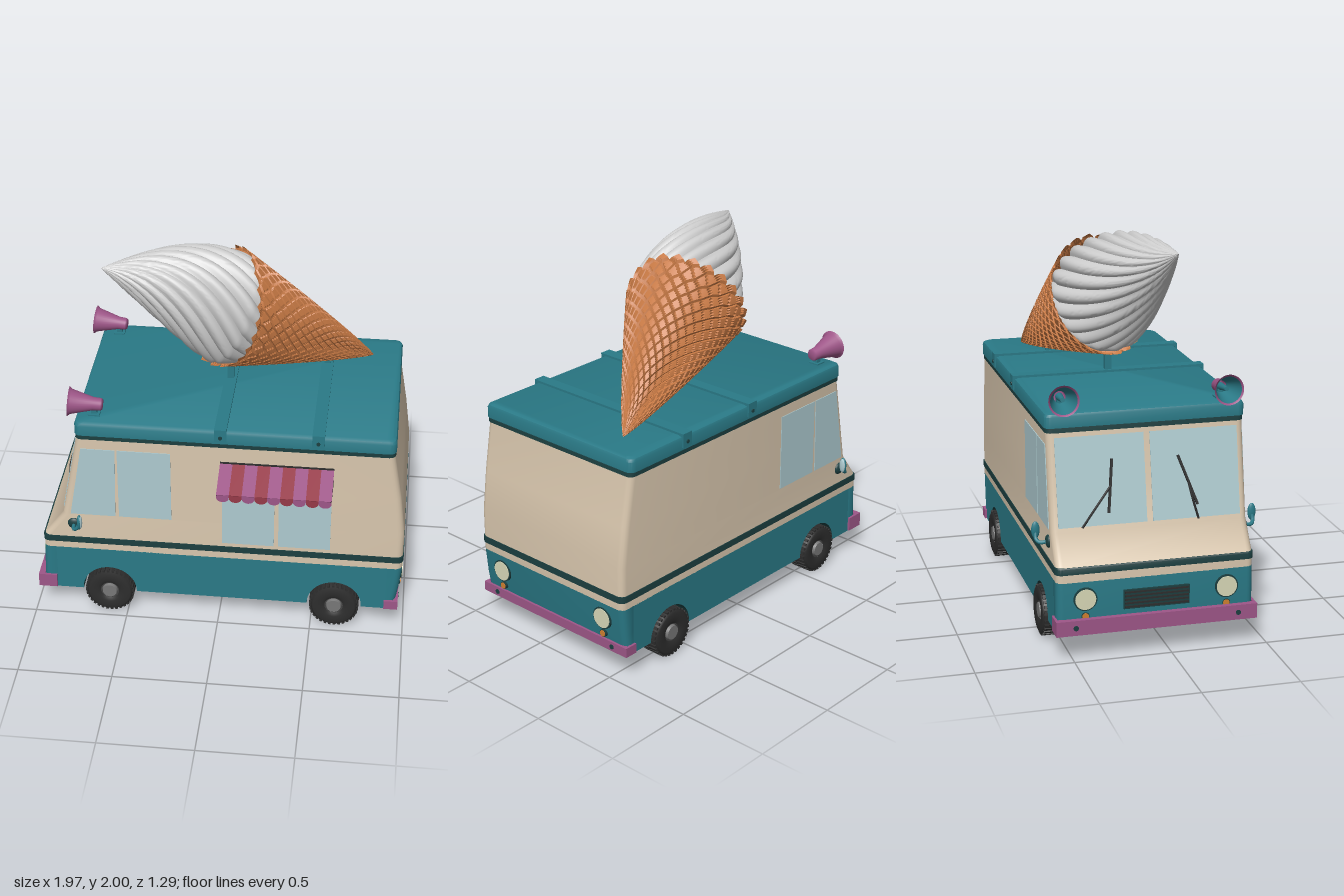
import * as THREE from 'three';
import { mergeGeometries, toCreasedNormals } from 'three/addons/utils/BufferGeometryUtils.js';

const paint = (color, side = THREE.FrontSide) => new THREE.MeshStandardMaterial({ color, side });
const ZC = -0.068, HALF = 0.508; // middle and half width of the body

export function createModel() {
  const model = new THREE.Group();
  const teal = paint(0x2a7a87), cream = paint(0xd9c7ae), dark = paint(0x1c3f40), pink = paint(0x9e5688);
  const black = paint(0x2d2d2d), steel = paint(0x777777), glass = paint(0xaecbd0), lampMat = paint(0xd9d9b8);
  const amber = paint(0xd08030), waffle = paint(0xc87a45, THREE.DoubleSide), grey = paint(0xcccccc);

  const add = (name, geo, mat, x = 0, y = 0, z = 0, parent = model) => {
    const m = new THREE.Mesh(geo, mat);
    m.name = name;
    m.position.set(x, y, z);
    parent.add(m);
    return m;
  };
  const box = (name, mat, w, h, d, x, y, z, parent) => add(name, new THREE.BoxGeometry(w, h, d), mat, x, y, z, parent);
  const rod = (name, mat, pts, r, parent) => add(name, new THREE.TubeGeometry(
    new THREE.CatmullRomCurve3(pts.map(p => new THREE.Vector3(...p))), 12, r, 8), mat, 0, 0, 0, parent);
  const group = (name, x = 0, y = 0, z = 0) => {
    const g = new THREE.Group();
    g.name = name;
    g.position.set(x, y, z);
    model.add(g);
    return g;
  };

  // Side outline of the body: x of the nose and of the tail at each height
  const nose = [[0.13, -0.95], [0.2, -0.955], [0.47, -0.945], [0.62, -0.835], [1.11, -0.745], [1.21, -0.735]];
  const tail = [[0.13, 0.945], [0.25, 0.965], [0.4, 0.98], [0.63, 0.98], [0.85, 0.952], [1.11, 0.908], [1.21, 0.9]];
  const at = (table, y) => {
    let i = 0;
    while (i < table.length - 2 && y > table[i + 1][0]) i++;
    const [a, b] = [table[i], table[i + 1]];
    return a[1] + (b[1] - a[1]) * (y - a[0]) / (b[0] - a[0]);
  };

  // Loft of rounded rectangles; row = [y, x0, x1, half width, nose radius, tail radius]
  const loft = rows => {
    const pos = [], idx = [], N = 20;
    rows.forEach(([y, x0, x1, h, rn, rt]) => {
      for (let c = 0; c < 4; c++) for (let k = 0; k < 5; k++) {
        const a = (c + k / 4) * Math.PI / 2, front = c === 1 || c === 2, r = front ? rn : rt;
        pos.push((front ? x0 + r : x1 - r) + r * Math.cos(a), y, ZC + (c < 2 ? -1 : 1) * (h - r) - r * Math.sin(a));
      }
    });
    for (let j = 0; j < rows.length - 1; j++) for (let i = 0; i < N; i++) {
      const a = j * N + i, b = j * N + (i + 1) % N;
      idx.push(a, b, b + N, a, b + N, a + N);
    }
    const top = (rows.length - 1) * N;
    for (let i = 1; i < N - 1; i++) idx.push(top, top + i, top + i + 1, 0, i + 1, i);
    const g = new THREE.BufferGeometry();
    g.setAttribute('position', new THREE.Float32BufferAttribute(pos, 3));
    g.setIndex(idx);
    return toCreasedNormals(g, 0.6);
  };
  const band = (name, y0, y1, mat, grow = 0) => {
    const ys = [y0, ...[...nose, ...tail].map(p => p[0]).filter(y => y > y0 && y < y1), y1];
    const rows = [...new Set(ys)].sort((a, b) => a - b)
      .map(y => [y, at(nose, y) - grow, at(tail, y) + grow, HALF + grow, 0.035, 0.035]);
    add(name, loft(rows), mat);
  };
  band('lowerTrim', 0.398, 0.442, cream);
  band('beltStripe', 0.44, 0.476, dark, 0.004);
  band('cabin', 0.475, 1.112, cream);
  band('roofStripe', 1.11, 1.136, dark, 0.004);
  add('roof', loft([[1.135, 0], [1.19, 0], [1.204, 0.006], [1.212, 0.02]].map(([y, s]) =>
    [y, at(nose, 1.135) - 0.008 + s, at(tail, 1.135) + 0.008 - s, HALF + 0.008 - s, 0.035, 0.035])), teal);

  // Lower body: arched middle with rounded ends
  const axles = [-0.595, 0.625];
  const sill = new THREE.Shape().moveTo(-0.88, 0.13);
  axles.forEach(x => sill.lineTo(x - 0.146, 0.13).absarc(x, 0.135, 0.146, Math.PI, 0, true).lineTo(x + 0.146, 0.13));
  sill.lineTo(0.9, 0.13).lineTo(0.9, 0.4).lineTo(-0.88, 0.4);
  add('lowerBody', new THREE.ExtrudeGeometry(sill, { depth: 2 * HALF, bevelEnabled: false, curveSegments: 28 }),
    [teal, dark], 0, 0, ZC - HALF);
  add('lowerNose', loft([0.13, 0.2, 0.4].map(y => [y, at(nose, y), -0.88, HALF, 0.035, 0.0001])), teal);
  add('lowerTail', loft([0.13, 0.25, 0.4].map(y => [y, 0.9, at(tail, y), HALF, 0.0001, 0.035])), teal);

  // Wheels and axles
  const tyre = new THREE.LatheGeometry([[0.05, -0.05], [0.07, -0.06], [0.112, -0.061], [0.126, -0.05], [0.128, 0],
    [0.126, 0.05], [0.112, 0.061], [0.07, 0.06], [0.05, 0.05]].map(p => new THREE.Vector2(...p)), 40);
  const treads = [];
  for (let i = 0; i < 32; i++) for (const s of [-1, 1])
    treads.push(new THREE.BoxGeometry(0.014, 0.05, 0.013).translate(0, s * 0.028, 0.1265)
      .rotateY((i + s * 0.25) * Math.PI / 16));
  const tread = mergeGeometries(treads);
  for (const x of axles) {
    for (const s of [-1, 1]) {
      const w = group('wheel', x, 0.133, ZC + s * 0.467);
      w.rotation.x = s * Math.PI / 2;
      add('tyre', tyre, black, 0, 0, 0, w);
      add('tread', tread, black, 0, 0, 0, w);
      add('rim', new THREE.CylinderGeometry(0.054, 0.054, 0.09, 32), paint(0x444444), 0, 0, 0, w);
      add('hub', new THREE.CylinderGeometry(0.038, 0.044, 0.02, 24), steel, 0, 0.05, 0, w);
      box('axleMount', dark, 0.06, 0.14, 0.05, x, 0.21, ZC + s * 0.25);
    }
    add('axle', new THREE.CylinderGeometry(0.04, 0.04, 0.86, 20), black, x, 0.133, ZC).rotation.x = Math.PI / 2;
  }

  // Bumpers, lamps and grille
  const disc = (name, mat, r, h, x, y, z) => { add(name, new THREE.CylinderGeometry(r, r, h, 28), mat, x, y, z).rotation.z = Math.PI / 2; };
  for (const [e, x, w, end, h] of [[-1, -0.968, 0.034, 0.1, 0.078], [1, 0.955, 0.024, 0.075, 0.052]]) {
    const y = 0.134 + h / 2, outer = x + e * w / 2;
    box('bumper', pink, w, h, 1.036, x, y, ZC);
    for (const s of [-1, 1]) {
      const z = ZC + s * 0.365, face = e < 0 ? -0.952 : 0.972;
      box('bumperEnd', pink, end, h, 0.014, outer - e * end / 2, y, ZC + s * 0.513);
      disc('bumperBolt', dark, 0.013, 0.008, outer, y, ZC + s * 0.42);
      disc('lampRim', dark, 0.06, 0.022, face - e * 0.003, 0.31, z);
      disc('lamp', lampMat, 0.053, 0.03, face - e * 0.003, 0.31, z);
      disc('signalRim', dark, 0.021, 0.026, face - e * 0.01, 0.22, z);
      disc('signal', amber, 0.017, 0.032, face - e * 0.01, 0.22, z);
    }
  }
  box('grille', dark, 0.012, 0.1, 0.34, -0.956, 0.29, ZC);
  for (let i = 0; i < 5; i++) box('grilleSlat', black, 0.014, 0.009, 0.33, -0.96, 0.252 + i * 0.019, ZC);

  // Side windows
  const pane = (name, pts, z) => add(name, new THREE.ExtrudeGeometry(
    new THREE.Shape(pts.map(p => new THREE.Vector2(...p))), { depth: 0.008, bevelEnabled: false }), glass, 0, 0, z - 0.004);
  for (const s of [-1, 1]) {
    pane('cabWindow', [[-0.79, 0.63], [-0.55, 0.63], [-0.54, 1.05], [-0.72, 1.05]], ZC + s * HALF);
    pane('doorWindow', [[-0.53, 0.63], [-0.25, 0.63], [-0.25, 1.05], [-0.53, 1.05]], ZC + s * HALF);
  }
  for (const x of [0.02, 0.318])
    pane('servingWindow', [[x, 0.5], [x + 0.275, 0.5], [x + 0.275, 1.0], [x, 1.0]], ZC + HALF);

  // Windscreen with wipers, tilted with the nose
  const screen = group('windscreen', -0.79, 0.865, ZC);
  screen.rotation.z = -Math.atan2(0.09, 0.49);
  for (const s of [-1, 1]) {
    box('windscreenPane', glass, 0.008, 0.45, 0.455, 0, 0, s * 0.243, screen);
    rod('wiperArm', black, [[-0.008, -0.23, s * 0.3 - 0.05], [-0.025, -0.13, s * 0.25 - 0.03], [-0.018, -0.03, s * 0.2]], 0.006, screen);
    const blade = box('wiperBlade', black, 0.012, 0.27, 0.012, -0.014, -0.03, s * 0.2, screen);
    blade.rotation.x = s < 0 ? 0.1 : -0.35;
  }

  // Wing mirrors
  for (const s of [-1, 1]) {
    const z0 = ZC + s * HALF;
    const base = add('mirrorBase', new THREE.SphereGeometry(0.034, 20, 14), dark, -0.775, 0.565, z0);
    base.scale.z = 0.5;
    rod('mirrorArm', teal, [[-0.775, 0.565, z0], [-0.77, 0.56, z0 + s * 0.045], [-0.75, 0.575, z0 + s * 0.06], [-0.735, 0.61, z0 + s * 0.058]], 0.01);
    const m = add('mirrorShell', new THREE.SphereGeometry(0.045, 20, 14), teal, -0.735, 0.615, z0 + s * 0.058);
    m.scale.set(0.28, 1, 0.48);
    add('mirrorGlass', new THREE.SphereGeometry(0.04, 20, 14), glass, -0.729, 0.615, z0 + s * 0.058).scale.set(0.24, 1, 0.46);
  }

  // Striped awning with scalloped hem
  const stripes = [paint(0x9e5688, THREE.DoubleSide), paint(0x963a48, THREE.DoubleSide)];
  const awning = group('awning', 0.01, 0, 0), sw = 0.59 / 9;
  for (let i = 0; i < 9; i++) {
    const x = (i + 0.5) * sw;
    const cloth = box('awningStripe', stripes[i % 2], sw, 0.005, 0.203, x, 0.98, 0.535, awning);
    cloth.rotation.x = Math.atan2(0.07, 0.19);
    const flap = new THREE.Shape().moveTo(-sw / 2, 0).lineTo(-sw / 2, -0.015)
      .absellipse(0, -0.015, sw / 2, 0.028, Math.PI, 2 * Math.PI, false, 0).lineTo(sw / 2, 0);
    add('awningScallop', new THREE.ShapeGeometry(flap), stripes[i % 2], x, 0.946, 0.63, awning);
  }
  box('awningRail', black, 0.59, 0.008, 0.008, 0.295, 1.017, 0.444, awning);
  for (const x of [0.004, 0.586]) box('awningStrut', black, 0.008, 0.007, 0.19, x, 0.944, 0.535, awning);

  // Roof straps and posts
  for (const [x, postTop, postZ] of [[0.012, 1.42, -0.07], [0.515, 1.29, -0.28]]) {
    box('strap', teal, 0.064, 0.016, 1.046, x, 1.216, ZC);
    for (const s of [-1, 1]) {
      box('strapEnd', teal, 0.064, 0.075, 0.012, x, 1.187, ZC + s * 0.519);
      add('strapBolt', new THREE.CylinderGeometry(0.01, 0.01, 0.008, 12), dark, x, 1.178, ZC + s * 0.526).rotation.x = Math.PI / 2;
    }
    box('post', teal, 0.034, postTop - 1.21, 0.034, x, (postTop + 1.21) / 2, postZ);
  }

  // Roof horns
  const bell = [[0, -0.05], [0.026, -0.05], [0.033, -0.04], [0.035, 0], [0.066, 0.115], [0.078, 0.128]].map(p => new THREE.Vector2(...p));
  for (const [z, turn] of [[0.345, 0.05], [-0.488, -0.05]]) {
    const horn = group('horn', -0.66, 1.27, z);
    horn.rotation.set(0, turn, Math.PI / 2 - 0.08);
    add('hornBell', new THREE.LatheGeometry(bell, 32), paint(0x9e5688, THREE.DoubleSide), 0, 0, 0, horn);
    add('hornLining', new THREE.CylinderGeometry(0.068, 0.03, 0.12, 32, 1, true), paint(0x2a7a87, THREE.DoubleSide), 0, 0.064, 0, horn);
    add('hornCore', new THREE.CylinderGeometry(0.012, 0.02, 0.1, 16), teal, 0, 0.04, 0, horn);
    box('hornBracket', teal, 0.03, 0.06, 0.03, -0.655, 1.232, z);
    box('hornFoot', teal, 0.06, 0.012, 0.06, -0.655, 1.213, z);
  }

  // Giant cone lying across the roof; local +y runs from its point to the swirl tip
  const point = new THREE.Vector3(0.76, 1.22, -0.385), tip = new THREE.Vector3(-0.63, 1.95, 0.13);
  const axis = tip.clone().sub(point), total = axis.length();
  const treat = group('iceCreamCone', ...point.toArray());
  treat.quaternion.setFromUnitVectors(new THREE.Vector3(0, 1, 0), axis.normalize());
  const wrap = (nu, nv, rule) => {
    const g = new THREE.PlaneGeometry(1, 1, nu, nv), p = g.attributes.position;
    for (let i = 0; i < p.count; i++) {
      const u = p.getX(i) + 0.5, v = p.getY(i) + 0.5, a = u * 2 * Math.PI;
      const [r, y, lean = 0] = rule(u, v, a);
      p.setXYZ(i, r * Math.sin(a) + lean * 0.937, y, r * Math.cos(a) - lean * 0.35);
    }
    return g;
  };
  const wave = a => Math.abs(a - Math.floor(a) - 0.5) * 2; // 1 on whole numbers, 0 between
  const rim = 0.91;
  add('waffleCone', toCreasedNormals(wrap(192, 96, (u, v, a) => {
    const y = v * (rim + 0.02 - 0.1 * Math.max(0, Math.cos(a)) + 0.03 * v ** 8 * wave(u * 24 + 0.5));
    const groove = Math.max(wave(u * 24 + v * 12), wave(u * 24 - v * 12)) > 0.8 ? 0.012 * Math.min(1, v * 3) : 0;
    return [0.312 * (y / rim) ** 0.88 + 0.006 * v - groove, y];
  }), 0.4), waffle, 0, 0, 0, treat);
  add('softSwirl', toCreasedNormals(wrap(180, 60, (u, v, a) => {
    const t = -0.25 + 1.25 * v;
    const r = t < 0 ? 0.295 * (1 + 0.75 * t) : 0.295 * (1 - t ** 1.6);
    const f = wave((a - 1.7 * t) * 18 / (2 * Math.PI));
    return [r * (1.02 - 0.1 * f * f), rim + t * (total - rim), 0.04 * Math.sin(Math.PI * Math.max(0, t))];
  }), 0.7), grey, 0, 0, 0, treat);

  return model;
}
